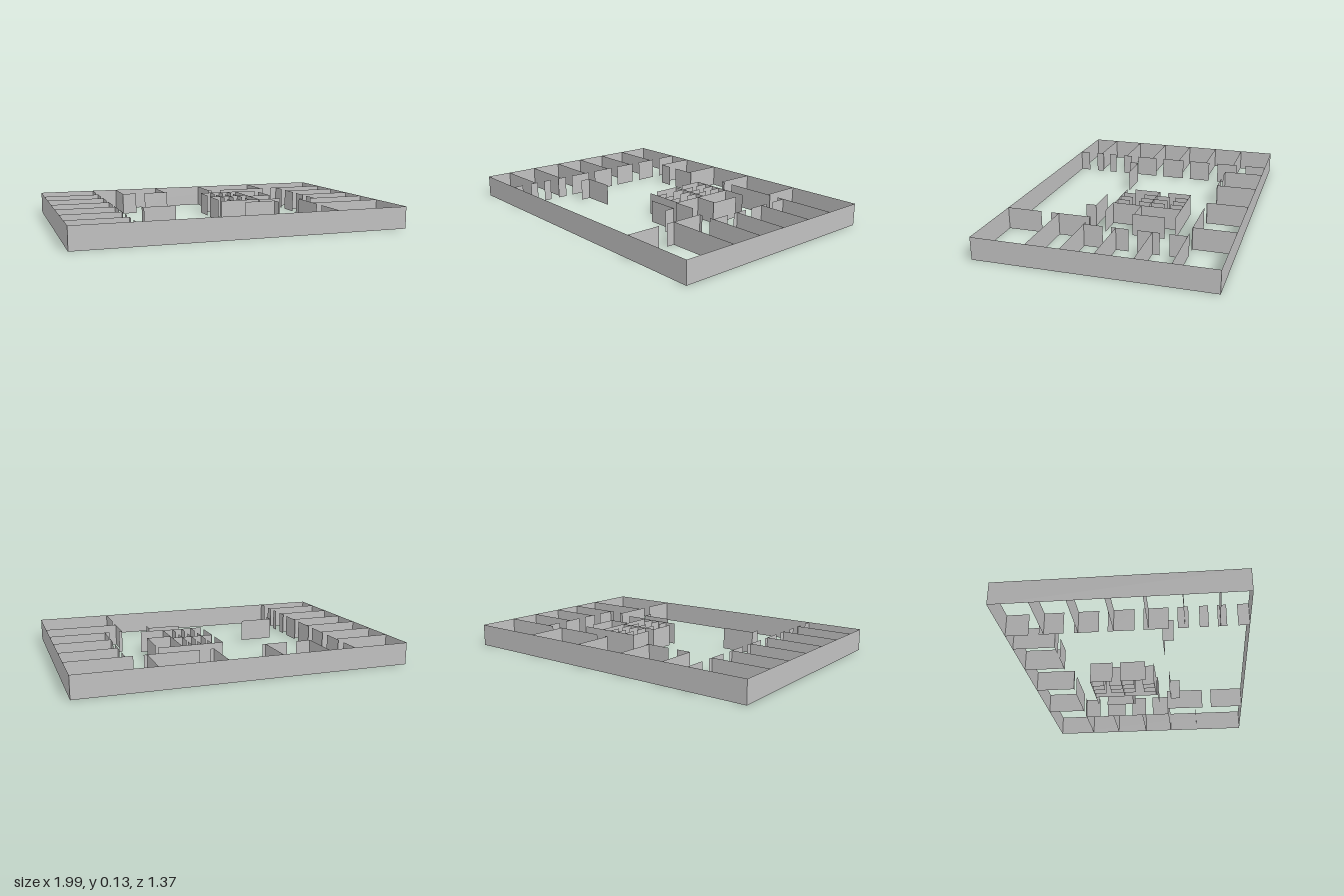
import * as THREE from 'three';

const H = 0.134; // wall height

export function createModel() {
  const model = new THREE.Group();
  model.name = 'officeFloorWalls';
  const wallGrey = new THREE.MeshStandardMaterial({ color: 0xc0c0c0, side: THREE.DoubleSide });
  wallGrey.name = 'wallGrey';

  const group = (name) => {
    const g = new THREE.Group();
    g.name = name;
    model.add(g);
    return g;
  };
  // Upright thin sheet between two points on the floor
  const wall = (parent, name, x1, z1, x2, z2) => {
    const mesh = new THREE.Mesh(new THREE.PlaneGeometry(Math.hypot(x2 - x1, z2 - z1), H), wallGrey);
    mesh.position.set((x1 + x2) / 2, H / 2, (z1 + z2) / 2);
    mesh.rotation.y = -Math.atan2(z2 - z1, x2 - x1);
    mesh.name = name;
    parent.add(mesh);
  };
  // Runs along x or z, broken by door gaps
  const alongX = (g, name, z, ...runs) => runs.forEach(([a, b]) => wall(g, name, a, z, b, z));
  const alongZ = (g, name, x, ...runs) => runs.forEach(([a, b]) => wall(g, name, x, a, x, b));

  // Outer shell
  const W = 0.997, D = 0.683;
  const shell = group('outerWalls');
  alongX(shell, 'backWall', -D, [-W, W]);
  alongX(shell, 'frontWall', D, [-W, W]);
  alongZ(shell, 'sideWall', -W, [-D, D]);
  alongZ(shell, 'sideWall', W, [-D, D]);

  // Row of offices on the -x side
  const west = group('rightOffices');
  for (const z of [-0.463, -0.267, -0.067, 0.128, 0.329, 0.524]) {
    alongX(west, 'officePartition', z, [-W, -0.645]);
  }
  alongZ(west, 'corridorWall', -0.645, [-D, -0.55], [-0.49, -0.35], [-0.29, -0.15], [-0.1, 0.05],
    [0.1, 0.24], [0.29, 0.35], [0.41, 0.46], [0.51, 0.56], [0.62, D]);

  // Rooms along the back
  const back = group('backRooms');
  for (const x of [-0.48, -0.19, 0.135, 0.53]) alongZ(back, 'roomPartition', x, [-D, -0.435]);
  alongX(back, 'corridorWall', -0.435, [-0.48, -0.39], [-0.33, -0.17], [0.135, 0.155],
    [0.22, 0.55], [0.61, W]);

  // Offices on the +x side
  const east = group('leftOffices');
  alongX(east, 'officePartition', -0.238, [0.655, W]);
  alongX(east, 'officePartition', -0.027, [0.655, W]);
  alongX(east, 'officePartition', 0.163, [0.545, 0.565], [0.625, W]);
  alongX(east, 'officePartition', 0.36, [0.545, W]);
  alongZ(east, 'corridorWall', 0.655, [-0.435, -0.335], [-0.28, -0.15], [-0.1, 0.0], [0.05, 0.163]);
  alongZ(east, 'corridorWall', 0.545, [0.163, 0.41], [0.47, D]);

  // Service core with stalls
  const core = group('serviceCore');
  alongX(core, 'coreWall', -0.31, [0.035, 0.435]);
  alongX(core, 'coreWall', -0.11, [0.035, 0.29]);
  alongX(core, 'coreWall', 0.103, [0.035, 0.29]);
  alongX(core, 'coreWall', -0.065, [0.29, 0.435]);
  alongX(core, 'coreWall', 0.113, [0.29, 0.435]);
  alongZ(core, 'coreWall', 0.035, [-0.31, -0.165], [-0.115, 0.05]);
  alongZ(core, 'coreWall', 0.29, [-0.31, 0.113]);
  alongZ(core, 'coreWall', 0.435, [-0.25, -0.055]);
  for (const x of [0.105, 0.168, 0.227]) {
    alongZ(core, 'stallPartition', x, [-0.31, -0.23], [-0.195, -0.03], [0.025, 0.103]);
  }

  // Free-standing corner screens
  const screens = group('cornerScreens');
  alongX(screens, 'screen', 0.197, [-0.5, -0.29], [0.16, 0.36]);
  for (const x of [-0.5, 0.36]) alongZ(screens, 'screenReturn', x, [0.197, 0.26]);

  return model;
}
